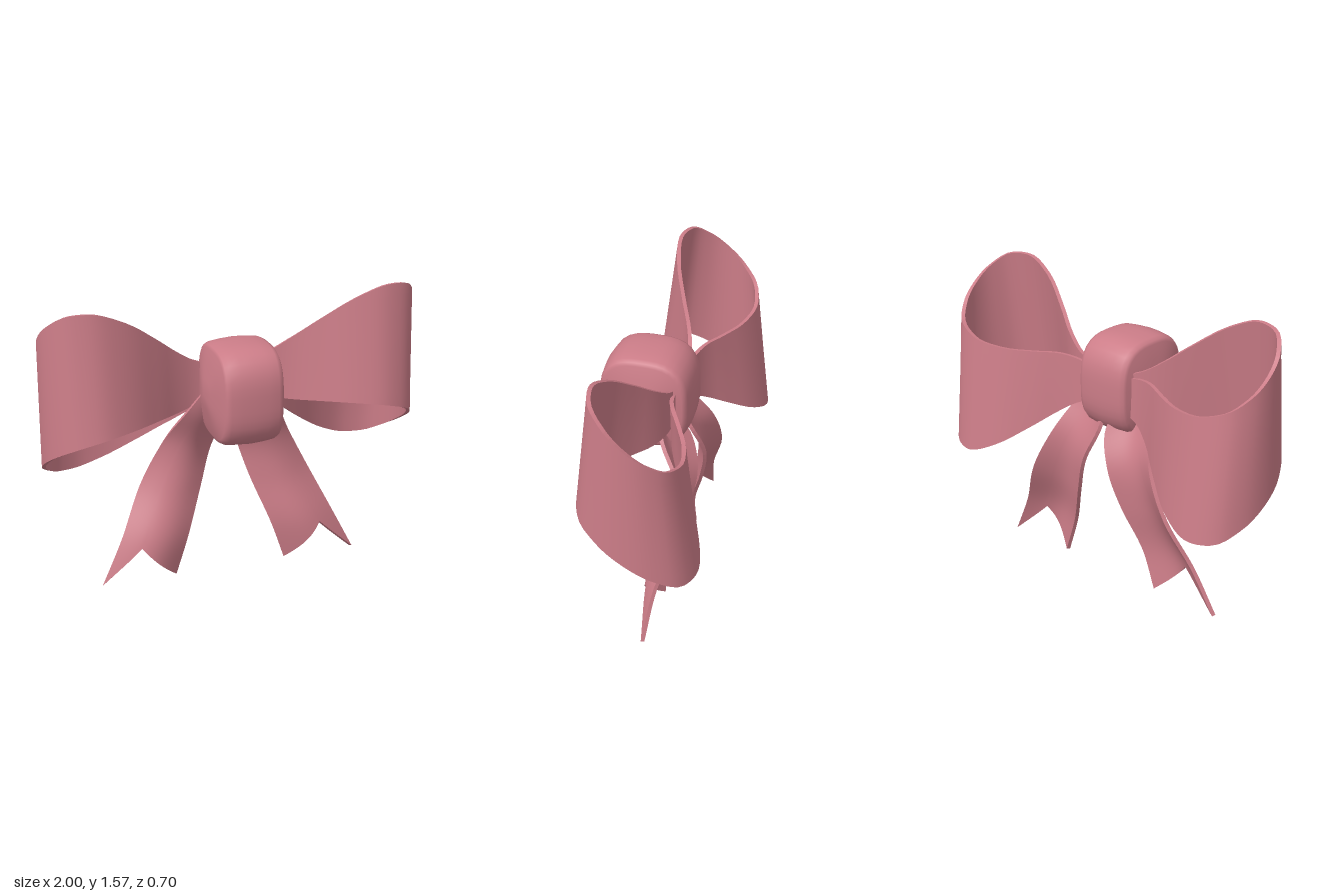
import * as THREE from 'three';
import { mergeVertices } from 'three/addons/utils/BufferGeometryUtils.js';

const V = (x, y, z) => new THREE.Vector3(x, y, z);

// Solid sheet of cloth: point(u, v) is the outer face, thickened inwards; side = -1 mirrors it in x.
function cloth(point, nu, nv, thickness, side) {
  const pos = [], index = [], e = 1e-3;
  const outer = (i, j) => j * (nu + 1) + i;
  const count = (nu + 1) * (nv + 1);
  const front = [], back = [];
  for (let j = 0; j <= nv; j++) for (let i = 0; i <= nu; i++) {
    const u = i / nu, v = j / nv;
    const du = point(Math.min(1, u + e), v).sub(point(Math.max(0, u - e), v));
    const dv = point(u, Math.min(1, v + e)).sub(point(u, Math.max(0, v - e)));
    const p = point(u, v);
    front.push(p);
    back.push(p.clone().addScaledVector(du.cross(dv).normalize(), -thickness));
  }
  const add = (p) => pos.push(p.x * side, p.y, p.z) / 3 - 1;
  const quad = (a, b, c, d) => (side > 0 ? index.push(a, b, c, a, c, d) : index.push(a, c, b, a, d, c));
  front.forEach(add);
  back.forEach(add);
  for (let j = 0; j < nv; j++) for (let i = 0; i < nu; i++) {
    const a = outer(i, j), b = outer(i + 1, j), c = outer(i + 1, j + 1), d = outer(i, j + 1);
    quad(a, b, c, d);
    quad(a + count, d + count, c + count, b + count);
  }
  // rim around the sheet, with its own vertices so that the edge stays sharp
  const rim = [];
  for (let i = 0; i < nu; i++) rim.push(outer(i, 0));
  for (let j = 0; j < nv; j++) rim.push(outer(nu, j));
  for (let i = nu; i > 0; i--) rim.push(outer(i, nv));
  for (let j = nv; j > 0; j--) rim.push(outer(0, j));
  rim.forEach((a, k) => {
    const b = rim[(k + 1) % rim.length];
    quad(add(back[a]), add(back[b]), add(front[b]), add(front[a]));
  });
  const geo = new THREE.BufferGeometry();
  geo.setAttribute('position', new THREE.Float32BufferAttribute(pos, 3));
  geo.setIndex(index);
  geo.computeVertexNormals();
  return geo;
}

// Loop: teardrop in plan (x, depth -1..1), with half the band height as third value
const half = [
  [0.1, 0.05, 0.09], [0.2, 0.09, 0.12], [0.3, 0.23, 0.16], [0.43, 0.53, 0.21], [0.6, 0.87, 0.27],
  [0.75, 1, 0.31], [0.88, 0.88, 0.33], [0.97, 0.5, 0.335],
];
const loopPath = new THREE.CatmullRomCurve3([
  ...half.map(([x, c, h]) => V(x, c, h)),
  V(1, 0, 0.335),
  ...half.map(([x, c, h]) => V(x, -c, h)).reverse(),
]);
function loopPoint(u, v) {
  const p = loopPath.getPoint(u);
  const depth = THREE.MathUtils.lerp(0.3, 0.22, v);
  return V(p.x, 1.07 + p.z * (2 * v - 1) + 0.18 * p.y, -0.05 + depth * p.y);
}

// Tail: inner and outer edges from the knot down to the forked end
const innerEdge = new THREE.CatmullRomCurve3([
  V(0.03, 0.96, -0.02), V(0.015, 0.84, -0.1), V(0.075, 0.67, -0.15),
  V(0.14, 0.47, -0.12), V(0.235, 0.22, -0.05), V(0.31, 0, -0.04),
]);
const outerEdge = new THREE.CatmullRomCurve3([
  V(0.17, 1.05, 0.03), V(0.25, 0.93, -0.01), V(0.35, 0.74, -0.12),
  V(0.47, 0.51, -0.145), V(0.6, 0.24, -0.07), V(0.72, 0, -0.04),
]);
function tailPoint(u, v) {
  const notch = 0.17 * (u < 0.7 ? u / 0.7 : (1 - u) / 0.3);
  const t = (1 - v) * (1 - notch);
  const p = innerEdge.getPoint(t).lerp(outerEdge.getPoint(t), u);
  p.z += 0.065 * Math.sin(Math.PI * u) * Math.min(1, 0.4 + t);
  return p;
}

// Knot: turned about x, then squared off into a rounded block
function knotGeometry() {
  const side = [[0, 0.2], [0.3, 0.188], [0.6, 0.172], [0.86, 0.155], [0.92, 0.147], [0.96, 0.125], [0.985, 0.07]];
  const profile = [
    ...side.map(([r, x]) => new THREE.Vector2(r, -x)),
    new THREE.Vector2(1, 0),
    ...side.map(([r, x]) => new THREE.Vector2(r, x)).reverse(),
  ];
  let geo = new THREE.LatheGeometry(profile, 40);
  geo.rotateZ(-Math.PI / 2);
  const pos = geo.attributes.position;
  for (let i = 0; i < pos.count; i++) {
    const y = pos.getY(i), z = pos.getZ(i), r = Math.hypot(y, z);
    const k = r > 1e-6 ? r / Math.cbrt(Math.abs(y) ** 3 + Math.abs(z) ** 3) : 0;
    pos.setY(i, 1.07 + 0.262 * y * k);
    pos.setZ(i, 0.11 + 0.24 * z * k);
  }
  geo.deleteAttribute('uv');
  geo.deleteAttribute('normal');
  geo = mergeVertices(geo, 1e-4);
  geo.computeVertexNormals();
  return geo;
}

export function createModel() {
  const group = new THREE.Group();
  group.name = 'ribbonBow';
  const rose = new THREE.MeshStandardMaterial({ color: 0xcc7d88 });
  rose.name = 'rose';
  const add = (name, geo) => {
    const mesh = new THREE.Mesh(geo, rose);
    mesh.name = name;
    group.add(mesh);
  };
  add('knot', knotGeometry());
  for (const [name, side] of [['left', 1], ['right', -1]]) {
    add(name + 'Loop', cloth(loopPoint, 64, 10, 0.02, side));
    add(name + 'Tail', cloth(tailPoint, 20, 28, 0.02, side));
  }
  return group;
}
